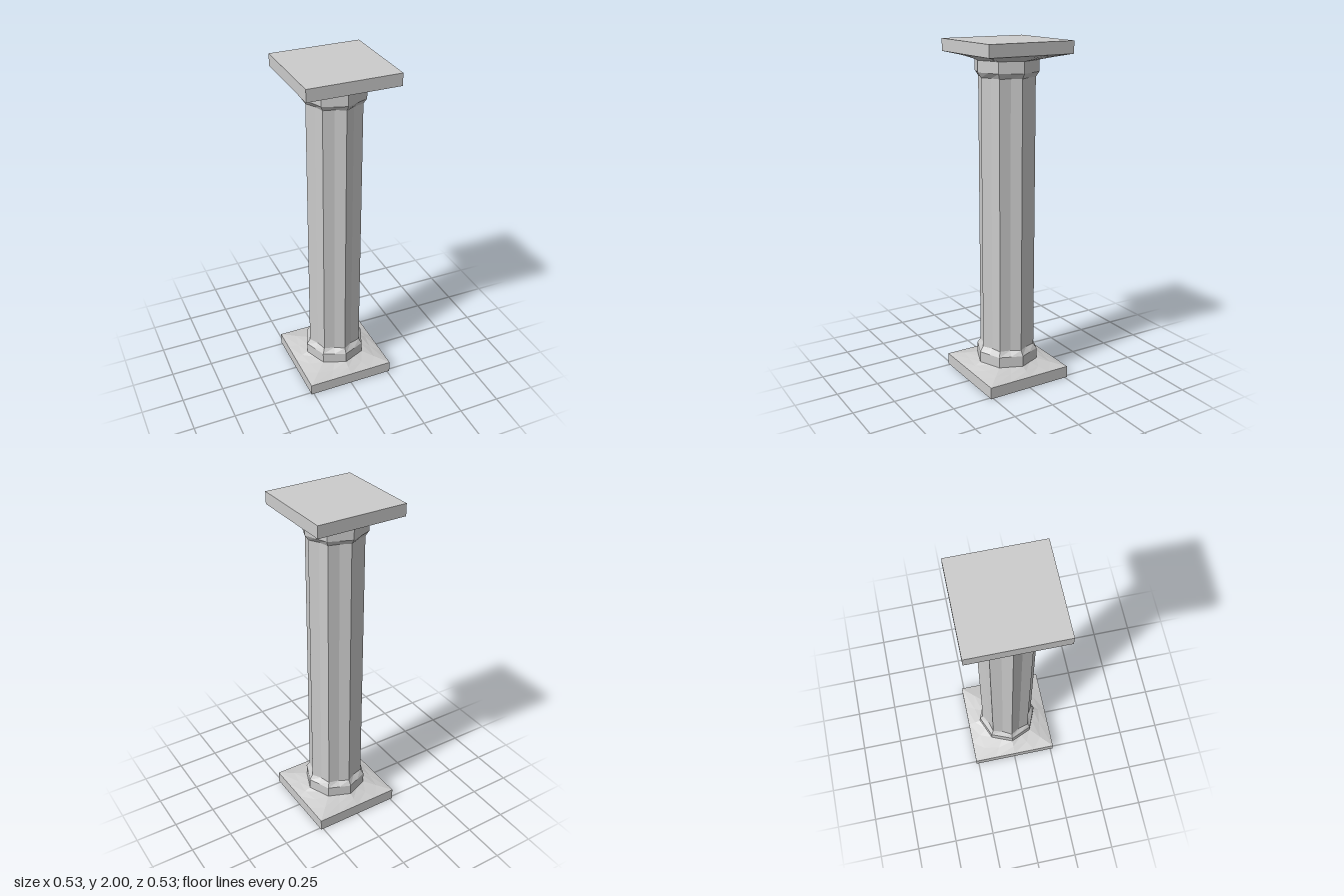
import * as THREE from 'three';

const SIDES = 16; // eight corners plus the middle of each side
const material = new THREE.MeshStandardMaterial({ color: 0xcccccc, flatShading: true });

// Ring of 16 points; corner points at rOuter, side middles at rMid
function octagon(y, rOuter, rMid = rOuter * Math.cos(Math.PI / 8)) {
  return Array.from({ length: SIDES }, (_, i) => {
    const a = (i / SIDES) * Math.PI * 2;
    const r = i % 2 ? rMid : rOuter;
    return new THREE.Vector3(r * Math.sin(a), y, r * Math.cos(a));
  });
}

// Square ring matching the octagon point for point
function square(y, half) {
  return Array.from({ length: SIDES }, (_, i) => {
    const side = Math.floor((i + 2) / 4);
    const t = (i + 2 - side * 4 - 2) / 2;
    return new THREE.Vector3(t * half, y, half)
      .applyAxisAngle(new THREE.Vector3(0, 1, 0), side * Math.PI / 2);
  });
}

function blend(a, b, t, y) {
  return a.map((p, i) => p.clone().lerp(b[i], t).setY(y));
}

// Skin a stack of rings, ordered from bottom to top
function loft(name, rings) {
  const index = [];
  for (let j = 0; j < rings.length - 1; j++) {
    for (let i = 0; i < SIDES; i++) {
      const k = (i + 1) % SIDES;
      const a = j * SIDES + i, b = j * SIDES + k;
      index.push(a, b, b + SIDES, a, b + SIDES, a + SIDES);
    }
  }
  const geometry = new THREE.BufferGeometry().setFromPoints(rings.flat());
  geometry.setIndex(index);
  geometry.computeVertexNormals();
  const mesh = new THREE.Mesh(geometry, material);
  mesh.name = name;
  return mesh;
}

// Same rings turned upside down for the upper end
function flip(rings) {
  return rings.map(ring => ring.map(p => p.clone().setY(2 - p.y))).reverse();
}

export function createModel() {
  const column = new THREE.Group();
  column.name = 'column';

  const half = 0.265, plinthHeight = 0.07;
  const edge = square(plinthHeight, half);
  const neck = octagon(0.105, 0.185);

  // Sloped transition from the square slab to the octagon
  const slope = [edge, blend(edge, neck, 0.55, 0.088), neck];
  // Octagonal band tapering into the fluted shaft
  const collar = [neck, octagon(0.17, 0.185), octagon(0.2, 0.165, 0.144)];

  for (const upper of [false, true]) {
    const prefix = upper ? 'upper' : 'lower';
    const slab = new THREE.Mesh(
      new THREE.BoxGeometry(half * 2, plinthHeight, half * 2), material);
    slab.name = prefix + 'Slab';
    slab.position.y = upper ? 2 - plinthHeight / 2 : plinthHeight / 2;
    column.add(
      slab,
      loft(prefix + 'Slope', upper ? flip(slope) : slope),
      loft(prefix + 'Collar', upper ? flip(collar) : collar));
  }

  // Shaft with eight shallow V-shaped flutes
  column.add(loft('shaft', [octagon(0.2, 0.165, 0.144), octagon(1.8, 0.165, 0.144)]));
  return column;
}
